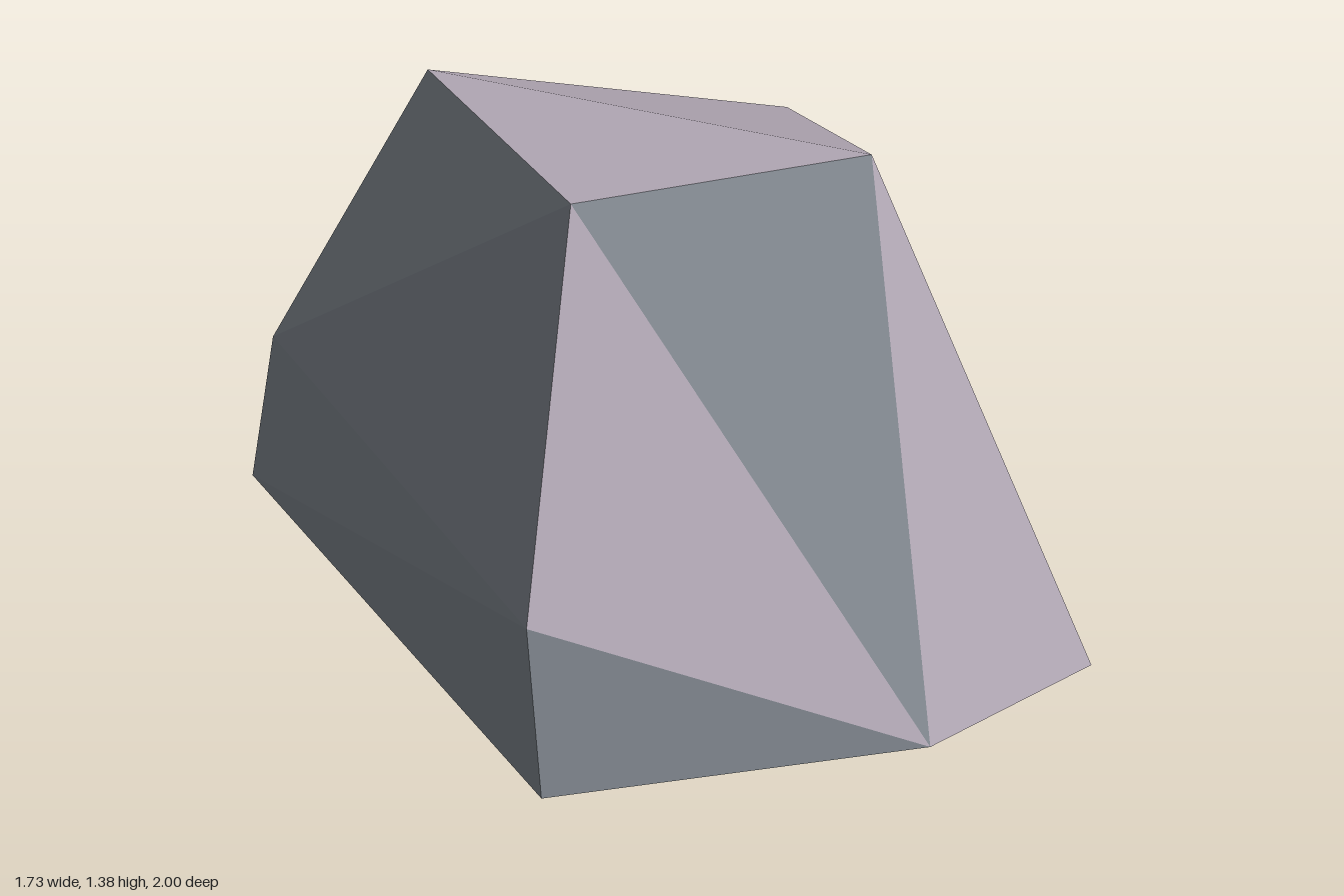
import * as THREE from 'three';

// Corner points of the boulder, named by position
const P = {
  topFL: [-0.405, 1.38, 0.31], topFR: [0.38, 1.375, 0.37],
  topBR: [0.59, 1.075, -0.51], topBL: [-0.4, 1.32, -0.66],
  backMid: [-0.465, 0.91, -0.93],
  sideBack: [-0.79, 0.457, -0.935], sideFront: [-0.7, 0.465, 0.69],
  footFL: [-0.7, 0, 0.76], footF: [0.262, 0.02, 1], footFR: [0.83, 0, 0.84],
  footBR: [0.865, 0.02, -1], footBL: [-0.868, 0, -0.97],
};
const CENTRE = new THREE.Vector3(0, 0.5, 0);

// Flat facets from corner names; each triangle is wound to face outwards
function facets(name, material, triangles) {
  const points = [];
  for (const tri of triangles) {
    let [a, b, c] = tri.split(' ').map((key) => new THREE.Vector3(...P[key]));
    const normal = new THREE.Triangle(a, b, c).getNormal(new THREE.Vector3());
    if (normal.dot(a.clone().sub(CENTRE)) < 0) [b, c] = [c, b];
    points.push(a, b, c);
  }
  const geometry = new THREE.BufferGeometry().setFromPoints(points);
  geometry.computeVertexNormals();
  const mesh = new THREE.Mesh(geometry, material);
  mesh.name = name;
  return mesh;
}

export function createModel() {
  const slate = new THREE.MeshStandardMaterial({ color: 0x838a92 });
  slate.name = 'slate grey';
  const mauve = new THREE.MeshStandardMaterial({ color: 0xb3a9b6 });
  mauve.name = 'pale mauve';

  const rock = new THREE.Group();
  rock.name = 'boulder';
  rock.add(
    // Pale worn cap and front facets
    facets('cap', mauve, ['topFL topFR topBL', 'topFR topBR topBL']),
    facets('paleFrontFacets', mauve, [
      'topFL sideFront footF', 'topFR footF footFR', 'topFR footFR topBR',
    ]),
    // Grey stone
    facets('greyFrontFacets', slate, ['topFL footF topFR', 'sideFront footFL footF']),
    facets('leftSide', slate, ['topBR footFR footBR']),
    facets('back', slate, [
      'topBR topBL backMid', 'topBR backMid footBR', 'footBR backMid footBL',
      'backMid sideBack footBL', 'topBL backMid sideBack',
    ]),
    facets('rightSide', slate, [
      'topFL topBL sideBack', 'topFL sideBack sideFront',
      'sideBack footBL sideFront', 'sideFront footBL footFL',
    ]),
    facets('underside', slate, [
      'footFL footBL footFR', 'footBL footBR footFR', 'footFL footFR footF',
    ]),
  );
  return rock;
}
